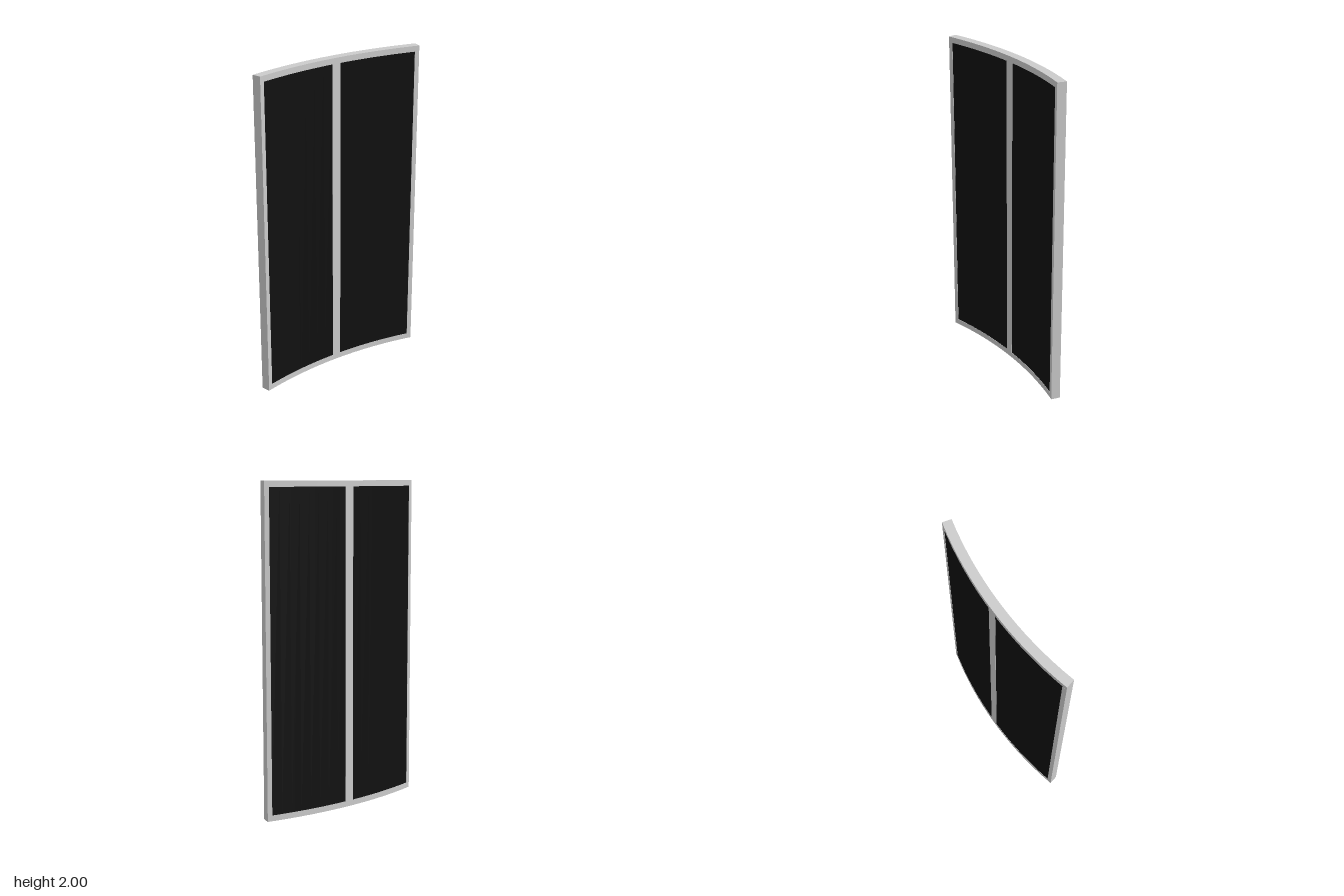
import * as THREE from 'three';

const BACK_R = 2.396, FRONT_R = 2.34;   // radii of the convex back and hollow front
const CENTRE_Z = 2.331;                 // axis of the curve
const END = 0.2426;                     // half of the swept angle
const STILE = 0.0122;                   // angular width of an outer stile
const MULLION = 0.0122;                 // half angular width of the middle bar
const RAIL = 0.035, HEIGHT = 2;

const grey = new THREE.MeshStandardMaterial({ color: 0xcccccc });
const black = new THREE.MeshStandardMaterial({ color: 0x101010 });

// A box bent round the vertical axis, from angle a0 to a1 and height y0 to y1
function bentBox(name, a0, a1, y0, y1, material, segments, inset = 0) {
  const geometry = new THREE.BoxGeometry(1, y1 - y0, 1, segments, 1, 1);
  const p = geometry.attributes.position;
  for (let i = 0; i < p.count; i++) {
    const angle = THREE.MathUtils.lerp(a0, a1, p.getX(i) + 0.5);
    const r = p.getZ(i) > 0 ? FRONT_R + inset : BACK_R - inset;
    p.setXYZ(i, r * Math.sin(angle), p.getY(i) + (y0 + y1) / 2, CENTRE_Z - r * Math.cos(angle));
  }
  geometry.computeVertexNormals();
  const mesh = new THREE.Mesh(geometry, material);
  mesh.name = name;
  return mesh;
}

export function createModel() {
  const model = new THREE.Group();
  model.name = 'curvedWindow';

  // Frame: rails across the full width, upright stiles between them
  const frame = new THREE.Group();
  frame.name = 'frame';
  frame.add(
    bentBox('bottomRail', -END, END, 0, RAIL, grey, 16),
    bentBox('topRail', -END, END, HEIGHT - RAIL, HEIGHT, grey, 16),
    bentBox('rightStile', -END, -END + STILE, RAIL, HEIGHT - RAIL, grey, 1),
    bentBox('leftStile', END - STILE, END, RAIL, HEIGHT - RAIL, grey, 1),
    bentBox('mullion', -MULLION, MULLION, RAIL, HEIGHT - RAIL, grey, 2)
  );
  model.add(frame);

  // Dark panes, set just inside the frame faces
  model.add(
    bentBox('rightPane', -END + STILE, -MULLION, RAIL, HEIGHT - RAIL, black, 8, 0.0015),
    bentBox('leftPane', MULLION, END - STILE, RAIL, HEIGHT - RAIL, black, 8, 0.0015)
  );
  return model;
}
